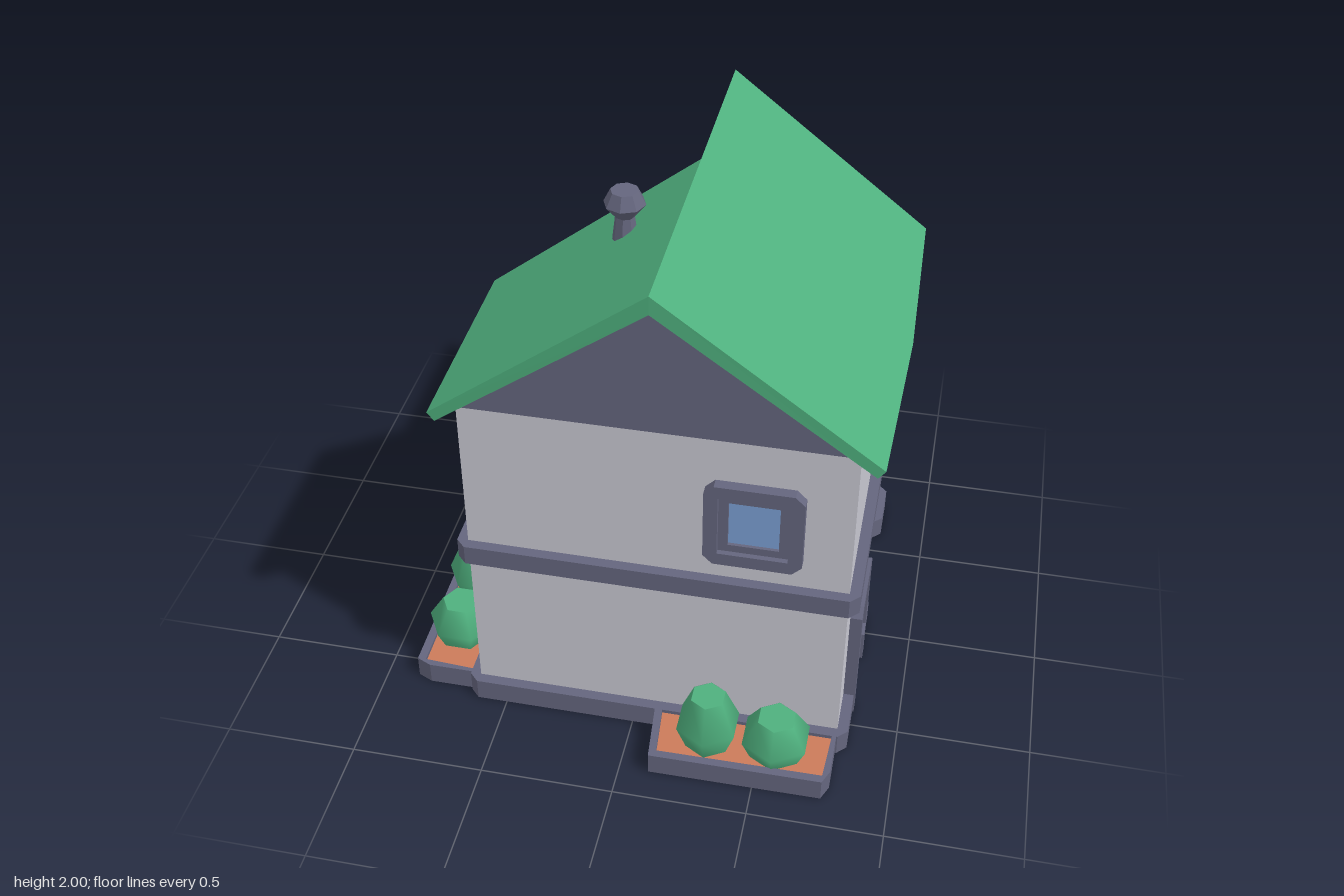
import * as THREE from 'three';

const material = (name, color) => {
  const m = new THREE.MeshStandardMaterial({ color });
  m.name = name;
  return m;
};

export function createModel() {
  const house = new THREE.Group();
  house.name = 'house';
  const wall = material('wall grey', 0xc8c8d2);
  const dark = material('slate trim', 0x65667e);
  const green = material('roof green', 0x4fb07e);
  const glass = material('window blue', 0x7ba0d4);
  const soil = material('soil', 0xcc7b5a);

  const add = (parent, name, geometry, mat, x = 0, y = 0, z = 0) => {
    const mesh = new THREE.Mesh(geometry, mat);
    mesh.name = name;
    mesh.position.set(x, y, z);
    parent.add(mesh);
    return mesh;
  };
  const place = (name, x, y, z, turn) => {
    const g = new THREE.Group();
    g.name = name;
    g.position.set(x, y, z);
    g.rotation.y = turn;
    house.add(g);
    return g;
  };
  const toShape = (points, hole) => {
    const s = new THREE.Shape(points.map(p => new THREE.Vector2(...p)));
    if (hole) s.holes.push(new THREE.Path(hole.map(p => new THREE.Vector2(...p))));
    return s;
  };
  const rect = (x0, x1, y0, y1) => [[x0, y0], [x1, y0], [x1, y1], [x0, y1]];
  const cutRect = (x0, x1, y0, y1, c) => [[x0 + c, y0], [x1 - c, y0], [x1, y0 + c], [x1, y1 - c],
    [x1 - c, y1], [x0 + c, y1], [x0, y1 - c], [x0, y0 + c]];
  const extrude = (points, depth, hole) =>
    new THREE.ExtrudeGeometry(toShape(points, hole), { depth, bevelEnabled: false });
  // Floor plan given as (x, z), raised from y0 to y1
  const prism = (points, y0, y1, hole) =>
    extrude(points, y1 - y0, hole).rotateX(Math.PI / 2).translate(0, y1, 0);

  // Base, with a notch under each door
  const c = 0.035;
  add(house, 'base', prism([
    [-0.65 + c, 0.65], [0.82 - c, 0.65], [0.82, 0.65 - c], [0.82, 0.38], [0.785, 0.38], [0.785, 0.14],
    [0.82, 0.14], [0.82, -0.125 + c], [0.82 - c, -0.125], [0.125, -0.125], [0.125, -0.83 + c],
    [0.125 - c, -0.83], [-0.14, -0.83], [-0.14, -0.795], [-0.38, -0.795], [-0.38, -0.83],
    [-0.65 + c, -0.83], [-0.65, -0.83 + c], [-0.65, 0.65 - c]], 0, 0.09), dark);
  add(house, 'pillarBase', prism(cutRect(0.57, 0.82, -0.83, -0.58, c), 0, 0.09), dark);

  // Ground floor with an open corner held by a pillar
  add(house, 'groundWalls', prism([[-0.61, 0.61], [0.78, 0.61], [0.78, -0.09],
    [0.085, -0.09], [0.085, -0.79], [-0.61, -0.79]], 0.08, 0.72), wall);
  add(house, 'pillar', prism(rect(0.61, 0.78, -0.79, -0.62), 0.08, 0.63), wall);
  add(house, 'porchCeiling', prism(rect(0.085, 0.78, -0.79, -0.09), 0.62, 0.72), wall);

  // Floor band, doubling as the terrace rim
  const terrace = rect(-0.615, 0.05, -0.795, -0.125);
  add(house, 'floorBand', prism(cutRect(-0.65, 0.82, -0.83, 0.65, c), 0.71, 0.79, terrace), dark);
  add(house, 'terraceFloor', prism(terrace, 0.715, 0.74), dark);

  // Upper floor and gables
  add(house, 'upperWalls', prism([[-0.61, 0.61], [0.78, 0.61], [0.78, -0.79],
    [0.085, -0.79], [0.085, -0.09], [-0.61, -0.09]], 0.78, 1.4), wall);
  add(house, 'longGable', extrude([[0.085, 1.4], [0.78, 1.4], [0.085, 1.93]], 1.4), dark, 0, 0, -0.79);
  add(house, 'shortGable', extrude([[0.085, 1.4], [0.085, 1.93], [-0.61, 1.4]], 0.7), dark, 0, 0, -0.09);

  // Roof slabs: stations run front to back as [ridge z, eave z, eave reach]
  const roofSlab = (side, stations) => {
    const rings = stations.map(([rz, ez, d]) => {
      const eave = 2 - d * 0.7625;
      const ring = [[0, 2, rz], [d, eave, ez], [d - 0.025, eave - 0.033, ez], [0, 1.93, rz]]
        .map(([x, y, z]) => [0.085 + side * x, y, z]);
      return side > 0 ? ring : ring.reverse();
    });
    const pos = [];
    const tri = (...pts) => pts.forEach(p => pos.push(...p));
    for (let s = 0; s < rings.length - 1; s++) {
      const a = rings[s], b = rings[s + 1];
      for (let i = 0; i < 4; i++) {
        const j = (i + 1) % 4;
        tri(a[i], a[j], b[j]);
        tri(a[i], b[j], b[i]);
      }
    }
    const f = rings[0], e = rings[rings.length - 1];
    tri(f[0], f[3], f[2]); tri(f[0], f[2], f[1]);
    tri(e[0], e[1], e[2]); tri(e[0], e[2], e[3]);
    const g = new THREE.BufferGeometry();
    g.setAttribute('position', new THREE.Float32BufferAttribute(pos, 3));
    g.computeVertexNormals();
    return g;
  };
  add(house, 'longRoof', roofSlab(1, [[0.69, 0.665, 0.78], [-0.09, -0.09, 0.8], [-0.885, -0.86, 0.78]]), green);
  add(house, 'shortRoof', roofSlab(-1, [[0.69, 0.665, 0.78], [-0.185, -0.16, 0.78]]), green);

  // Turned solids with a flat top
  const lathe = (profile, sides) =>
    new THREE.LatheGeometry(profile.map(p => new THREE.Vector2(...p)), sides);
  const flat = geometry => {
    const g = geometry.toNonIndexed();
    g.computeVertexNormals();
    return g;
  };
  add(house, 'chimney', flat(lathe([[0.055, 1.74], [0.035, 1.9], [0.075, 1.95], [0.05, 2], [0, 2]], 8)),
    dark, -0.13, 0, 0.075);

  // Windows, built facing +z
  const makeWindow = (x, y, z, turn, bar) => {
    const g = place('window', x, y, z, turn);
    const opening = rect(-0.125, 0.125, -0.125, 0.125);
    add(g, 'windowFrame', extrude(cutRect(-0.175, 0.175, -0.175, 0.175, c), 0.04, opening), dark);
    add(g, 'windowSash', extrude(opening, 0.02, rect(-0.09, 0.09, -0.095, 0.095)), dark);
    add(g, 'windowPane', new THREE.BoxGeometry(0.19, 0.2, 0.008), glass, 0, 0, 0.004);
    if (bar) add(g, 'windowBar', new THREE.BoxGeometry(0.18, 0.03, 0.02), dark, 0, 0, 0.01);
  };
  makeWindow(0.435, 1.055, 0.61, 0, false);
  makeWindow(0.435, 1.055, -0.79, Math.PI, true);
  makeWindow(-0.61, 1.055, 0.26, -Math.PI / 2, false);
  makeWindow(-0.61, 0.355, 0.26, -Math.PI / 2, false);

  // Doors, built facing +z
  const makeDoor = (x, z, turn, panes) => {
    const g = place('door', x, 0, z, turn);
    add(g, 'doorFrame', extrude([[-0.17, 0], [-0.12, 0], [-0.12, 0.48], [0.12, 0.48], [0.12, 0],
      [0.17, 0], [0.17, 0.495], [0.135, 0.53], [-0.135, 0.53], [-0.17, 0.495]], 0.045), dark);
    add(g, 'doorLeaf', new THREE.BoxGeometry(0.24, 0.48, 0.02), dark, 0, 0.24, 0.002);
    add(g, 'handlePlate', new THREE.BoxGeometry(0.03, 0.075, 0.01), dark, 0.075, 0.208, 0.016);
    add(g, 'handleStem', new THREE.BoxGeometry(0.015, 0.018, 0.025), dark, 0.075, 0.217, 0.028);
    add(g, 'handleLever', new THREE.BoxGeometry(0.065, 0.02, 0.012), dark, 0.055, 0.217, 0.042);
    if (panes) for (const y of [0.28, 0.4])
      add(g, 'doorPane', new THREE.BoxGeometry(0.075, 0.075, 0.008), glass, 0, y, 0.012);
  };
  makeDoor(0.78, 0.26, Math.PI / 2, false);
  makeDoor(-0.26, -0.79, Math.PI, true);

  // Planters with two bushes each
  const bush = (mid, midY, top, topY, foot) =>
    lathe([[foot, 0.07], [mid, midY], [top, topY], [top * 0.98, topY], [0, topY]], 6);
  const makePlanter = (x, z, turn) => {
    const g = place('planter', x, 0, z, turn);
    const bed = [[-0.32, -0.01], [0.33, -0.01], [0.318, 0.2], [-0.3, 0.205]];
    add(g, 'planterBox', prism([[-0.35, -0.02], [0.345, -0.02], [0.345, 0.175], [0.32, 0.232],
      [-0.325, 0.235]], 0, 0.09, bed), dark);
    add(g, 'soilBed', prism(bed, 0.03, 0.075), soil);
    add(g, 'tallBush', bush(0.124, 0.18, 0.068, 0.315, 0.085), green, -0.125, 0, 0.105);
    add(g, 'shortBush', bush(0.135, 0.155, 0.075, 0.25, 0.1), green, 0.13, 0, 0.1);
  };
  makePlanter(0.435, 0.645, 0);
  makePlanter(-0.645, 0.26, -Math.PI / 2);

  return house;
}
